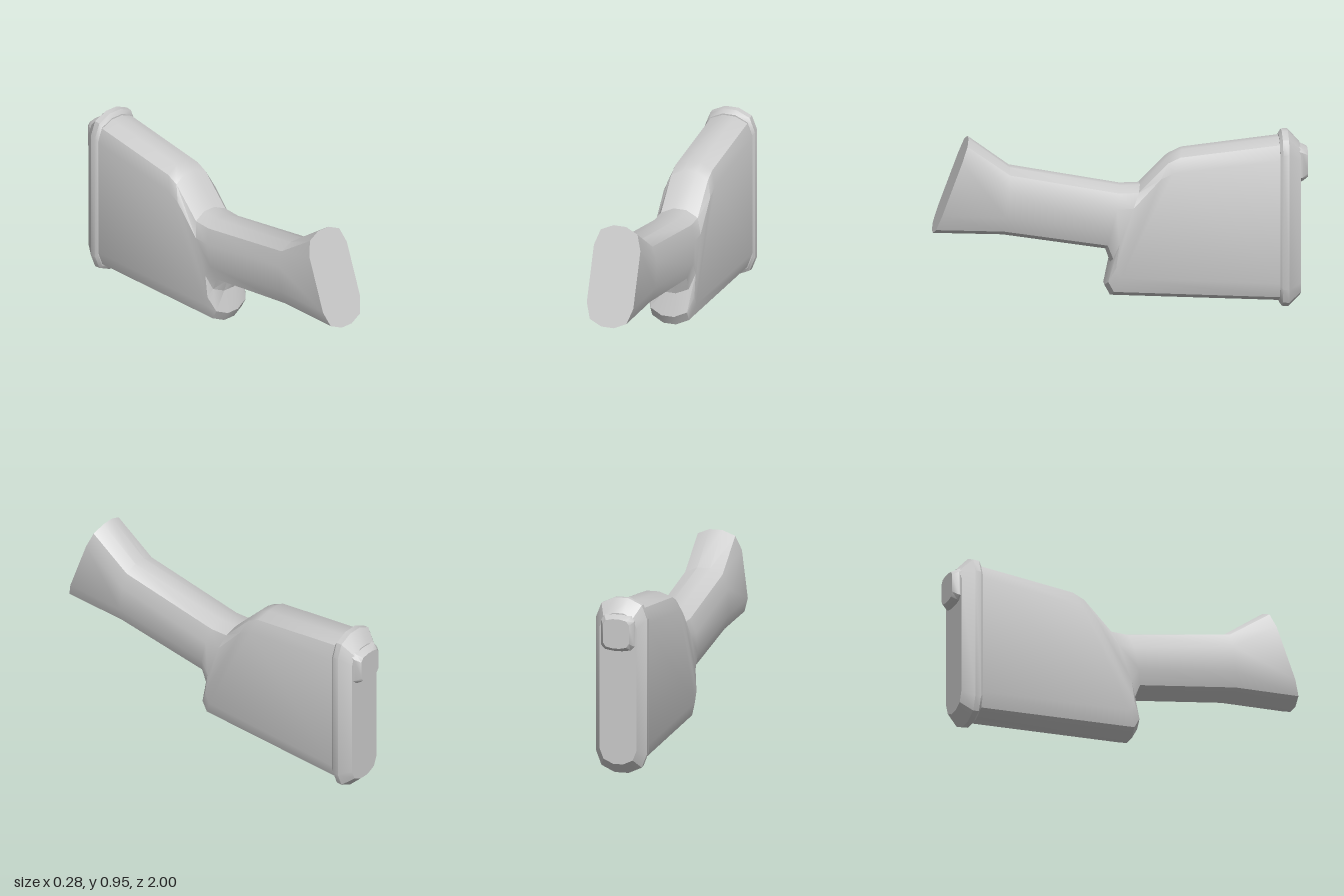
import * as THREE from 'three';
import { toCreasedNormals } from 'three/addons/utils/BufferGeometryUtils.js';

// Twelve-sided rounded slot, running from a bottom point to a top point [z, y]
function section(bottom, top, w, c1 = 0.03, c2 = 0.11) {
  const half = [[0.27, 0], [0.79, c1], [1, c2]];
  const h = top[1] - bottom[1];
  const at = (x, y) => {
    const t = y / h;
    return [x * w, bottom[1] + y, bottom[0] + (top[0] - bottom[0]) * t];
  };
  const right = [
    ...half.map(([x, y]) => at(x, y)),
    ...half.slice().reverse().map(([x, y]) => at(x, h - y)),
  ];
  const left = right.slice().reverse().map(([x, y, z]) => [-x, y, z]);
  return [...right, ...left];
}

// Skin a list of sections ordered front to back, and cap both ends
function loft(name, rings, material) {
  const n = rings[0].length;
  const index = [];
  for (let i = 0; i < rings.length - 1; i++) {
    for (let j = 0; j < n; j++) {
      const a = i * n + j, b = i * n + (j + 1) % n;
      index.push(a, a + n, b, b, a + n, b + n);
    }
  }
  const last = (rings.length - 1) * n;
  for (let j = 1; j < n - 1; j++) {
    index.push(0, j, j + 1, last, last + j + 1, last + j);
  }
  const geometry = new THREE.BufferGeometry();
  geometry.setAttribute('position', new THREE.Float32BufferAttribute(rings.flat(2), 3));
  geometry.setIndex(index);
  const mesh = new THREE.Mesh(toCreasedNormals(geometry, 0.56), material);
  mesh.name = name;
  return mesh;
}

export function createModel() {
  const group = new THREE.Group();
  group.name = 'stock';
  const material = new THREE.MeshStandardMaterial({ color: 0xcccccc });

  // Flared wrist running into the deep body: [bottom z, y], [top z, y]
  const body = [
    [[1.0, 0.435], [0.81, 0.945]],
    [[0.63, 0.42], [0.59, 0.785]],
    [[0.08, 0.333], [0.0, 0.675]],
    [[0.055, 0.26], [-0.105, 0.677]],
    [[0.085, 0.135], [-0.265, 0.835]],
    [[0.055, 0.08], [-0.33, 0.865]],
    [[-0.87, 0.033], [-0.87, 0.925]],
  ];
  group.add(loft('body', body.map(([b, t]) => section(b, t, 0.132)), material));

  // Butt plate with a bevelled rim: z, bottom, top, half width
  const plate = [
    [-0.847, 0.025, 0.93, 0.133],
    [-0.862, 0.003, 0.953, 0.141],
    [-0.895, 0, 0.955, 0.142],
    [-0.96, 0.06, 0.885, 0.103],
  ];
  group.add(loft('buttPlate',
    plate.map(([z, b, t, w]) => section([z, b], [z, t], w, w * 0.24, w * 0.78)), material));

  // Raised pad at the top of the plate
  const pad = [
    [-0.92, 0.675, 0.895, 0.092],
    [-0.968, 0.68, 0.875, 0.092],
    [-1.0, 0.7, 0.86, 0.072],
  ];
  group.add(loft('pad',
    pad.map(([z, b, t, w]) => section([z, b], [z, t], w, 0.008, 0.03)), material));

  return group;
}
